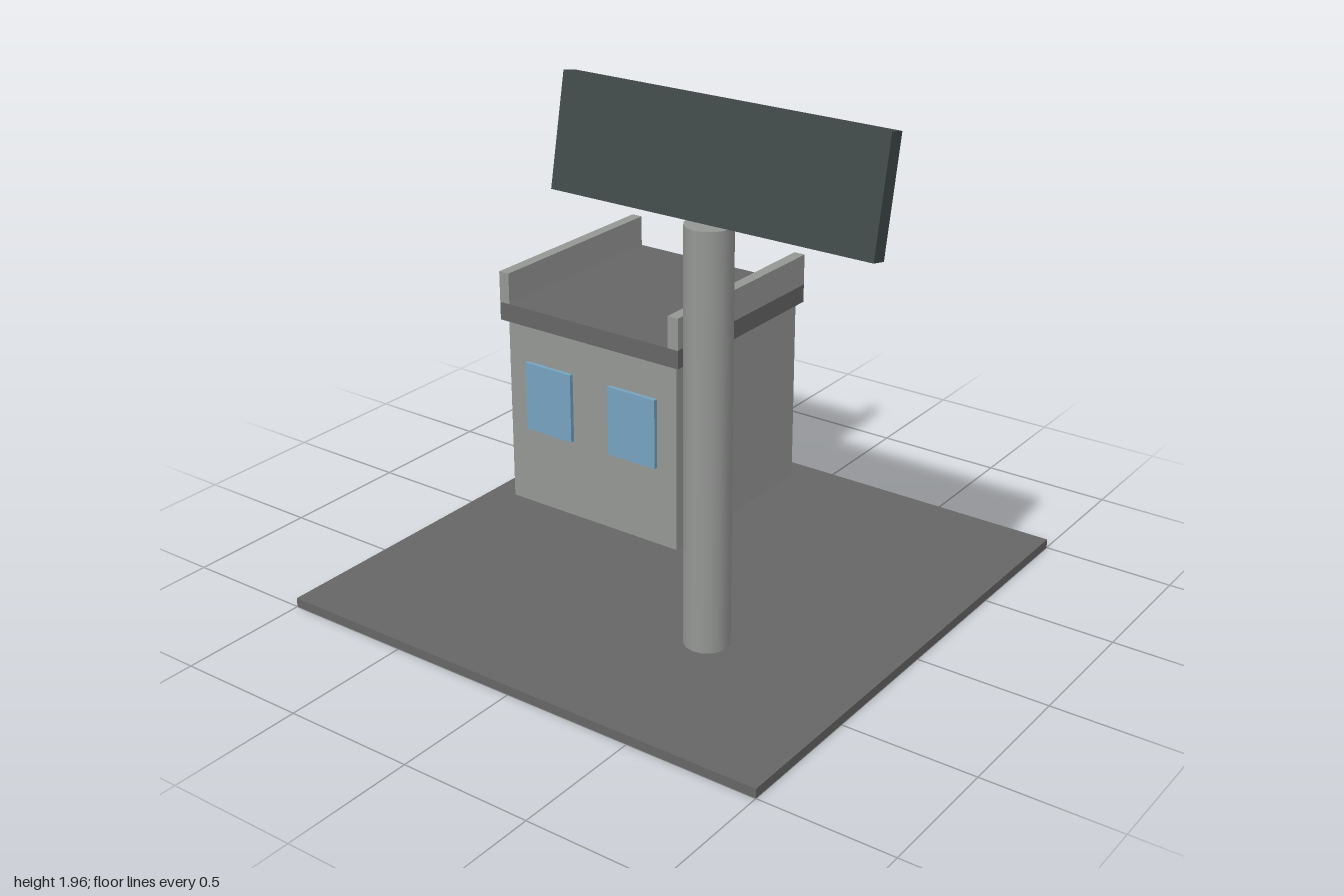
import * as THREE from 'three';

const material = (name, color) => {
  const m = new THREE.MeshStandardMaterial({ color });
  m.name = name;
  return m;
};

export function createModel() {
  const model = new THREE.Group();
  const concrete = material('lightConcrete', 0x959795);
  const asphalt = material('darkGrey', 0x666666);
  const glass = material('blueGlass', 0x75a3c0);
  const board = material('boardSlate', 0x414948);

  const add = (name, geometry, mat, x, y, z, parent = model) => {
    const mesh = new THREE.Mesh(geometry, mat);
    mesh.name = name;
    mesh.position.set(x, y, z);
    parent.add(mesh);
    return mesh;
  };
  const box = (name, size, mat, pos, parent) =>
    add(name, new THREE.BoxGeometry(...size), mat, ...pos, parent);

  // Ground slab
  box('groundSlab', [2, 0.035, 2], asphalt, [0, 0.0175, 0]);

  // Small building with a flat roof
  const building = new THREE.Group();
  building.name = 'building';
  building.position.set(-0.5, 0, -0.5);
  model.add(building);
  box('walls', [0.8, 0.757, 0.8], concrete, [0, 0.4135, 0], building);
  box('roofSlab', [0.845, 0.073, 0.845], asphalt, [0, 0.8285, 0], building);
  for (const side of [-1, 1]) {
    box('parapet', [0.046, 0.125, 0.845], concrete, [side * 0.3995, 0.9275, 0], building);
    // Two windows on the front and two on the back
    for (const face of [-1, 1]) {
      box('window', [0.22, 0.281, 0.017], glass, [side * 0.2, 0.4965, face * 0.4085], building);
    }
  }

  // Sign post and tilted board
  add('post', new THREE.CylinderGeometry(0.084, 0.084, 1.531, 16), concrete, 0.375, 0.8005, 0.375);
  const sign = box('signBoard', [1.25, 0.4, 0.0625], board, [0.375, 1.7625, 0.335]);
  sign.rotation.x = -0.2;

  return model;
}
